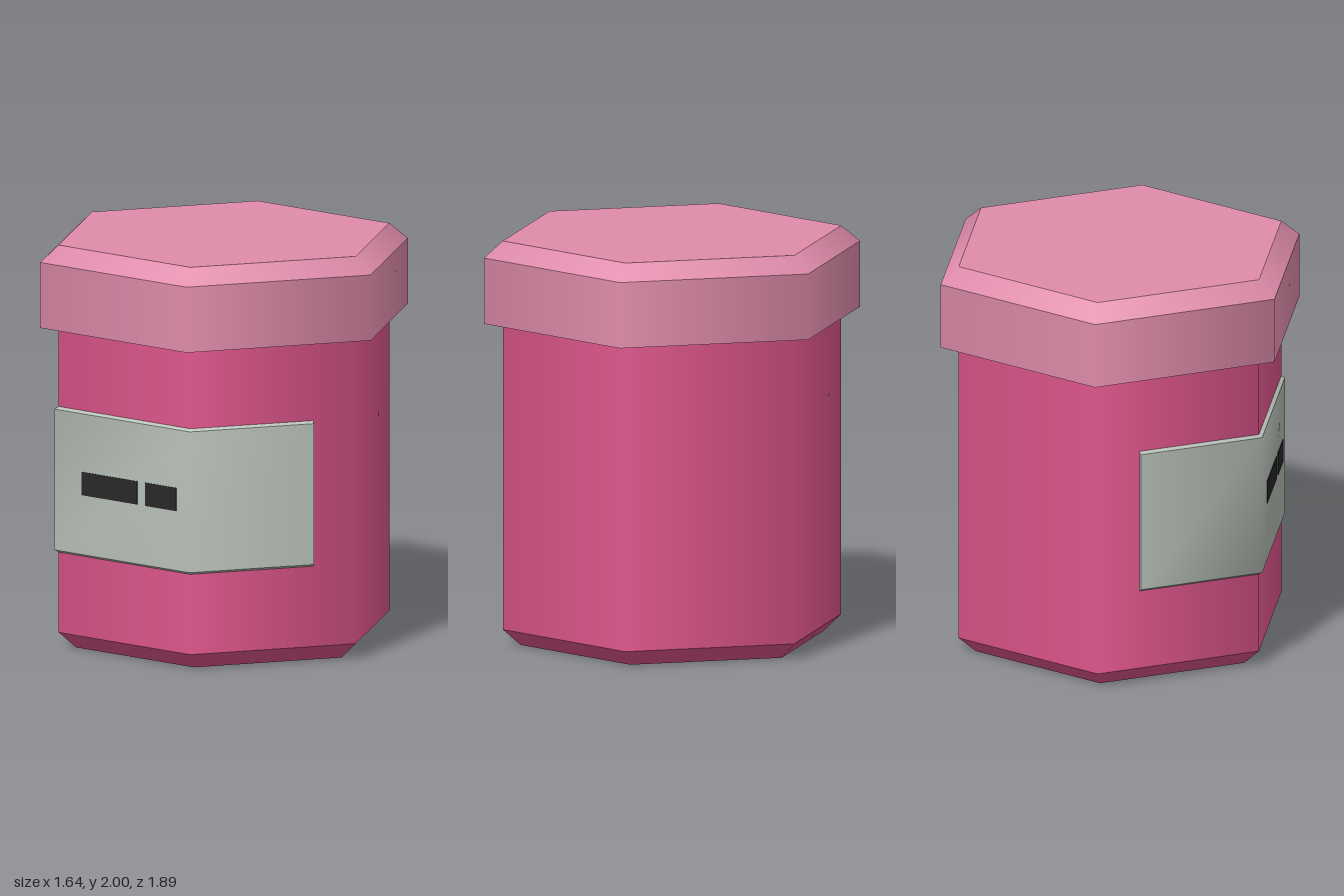
import * as THREE from 'three';
import { mergeGeometries } from 'three/addons/utils/BufferGeometryUtils.js';

const BODY_R = 0.85, LID_R = 0.945, LABEL_R = 0.87;

// Open six-sided wall with smooth normals, corners on the z axis
function wall(rBottom, rTop, y0, y1) {
  return new THREE.CylinderGeometry(rTop, rBottom, y1 - y0, 6, 1, true).translate(0, (y0 + y1) / 2, 0);
}

// Flat hexagon facing up (1) or down (-1)
function cap(r, y, facing) {
  return new THREE.CircleGeometry(r, 6, Math.PI / 2).rotateX(-facing * Math.PI / 2).translate(0, y, 0);
}

// Smooth strip between a lower and an upper row of points, facing outward
function strip(lower, upper) {
  const n = lower.length, index = [];
  for (let i = 0; i < n - 1; i++) {
    index.push(i, i + 1, n + i + 1, i, n + i + 1, n + i);
  }
  const g = new THREE.BufferGeometry().setFromPoints([...lower, ...upper]);
  g.setIndex(index);
  g.computeVertexNormals();
  return g;
}

// Wrapping path over three hexagon sides; the outer two are covered to fraction t
function labelPath(r, t, y) {
  const c = [-180, -120, -60, 0].map((deg) => {
    const a = THREE.MathUtils.degToRad(deg);
    return new THREE.Vector3(r * Math.sin(a), y, r * Math.cos(a));
  });
  return [c[1].clone().lerp(c[0], t), c[1], c[2], c[2].clone().lerp(c[3], t)];
}

function labelGeometry() {
  const baseLow = labelPath(BODY_R, 0.742, 0.478), baseHigh = labelPath(BODY_R, 0.742, 1.2);
  const faceLow = labelPath(LABEL_R, 0.735, 0.49), faceHigh = labelPath(LABEL_R, 0.735, 1.188);
  return mergeGeometries([
    strip(faceLow, faceHigh),
    strip(baseLow, faceLow),
    strip(faceHigh, baseHigh),
    strip([faceLow[3], baseLow[3]], [faceHigh[3], baseHigh[3]]),
    strip([baseLow[0], faceLow[0]], [baseHigh[0], faceHigh[0]]),
  ].map((g) => g));
}

export function createModel() {
  const material = (name, color) => {
    const m = new THREE.MeshStandardMaterial({ color });
    m.name = name;
    return m;
  };
  const bodyPink = material('body pink', 0xe0568d);
  const lidPink = material('lid pink', 0xe08cab);
  const labelGrey = material('label grey', 0xbac2ba);
  const markDark = material('mark dark', 0x282828);

  const model = new THREE.Group();
  model.name = 'jar';
  const add = (name, geometry, mat) => {
    const mesh = new THREE.Mesh(geometry, mat);
    mesh.name = name;
    model.add(mesh);
  };

  // Hexagonal body with a bevelled foot
  add('body', mergeGeometries([
    cap(0.76, 0, -1),
    wall(0.76, BODY_R, 0, 0.08),
    wall(BODY_R, BODY_R, 0.08, 1.6),
  ]), bodyPink);

  // Overhanging lid with a bevelled top
  add('lid', mergeGeometries([
    cap(LID_R, 1.595, -1),
    wall(LID_R, LID_R, 1.595, 1.92),
    wall(LID_R, 0.85, 1.92, 2),
    cap(0.85, 2, 1),
  ]), lidPink);

  // Label wrapped around the side
  add('label', labelGeometry(), labelGrey);

  // Two dark bars on the middle of the label
  const faceX = -LABEL_R * Math.cos(Math.PI / 6);
  [[-0.26, 0.1], [0.15, 0.35]].forEach(([z0, z1], i) => {
    const bar = new THREE.BoxGeometry(0.006, 0.115, z1 - z0);
    add('labelBar' + (i + 1), bar.translate(faceX, 0.842, (z0 + z1) / 2), markDark);
  });

  return model;
}
